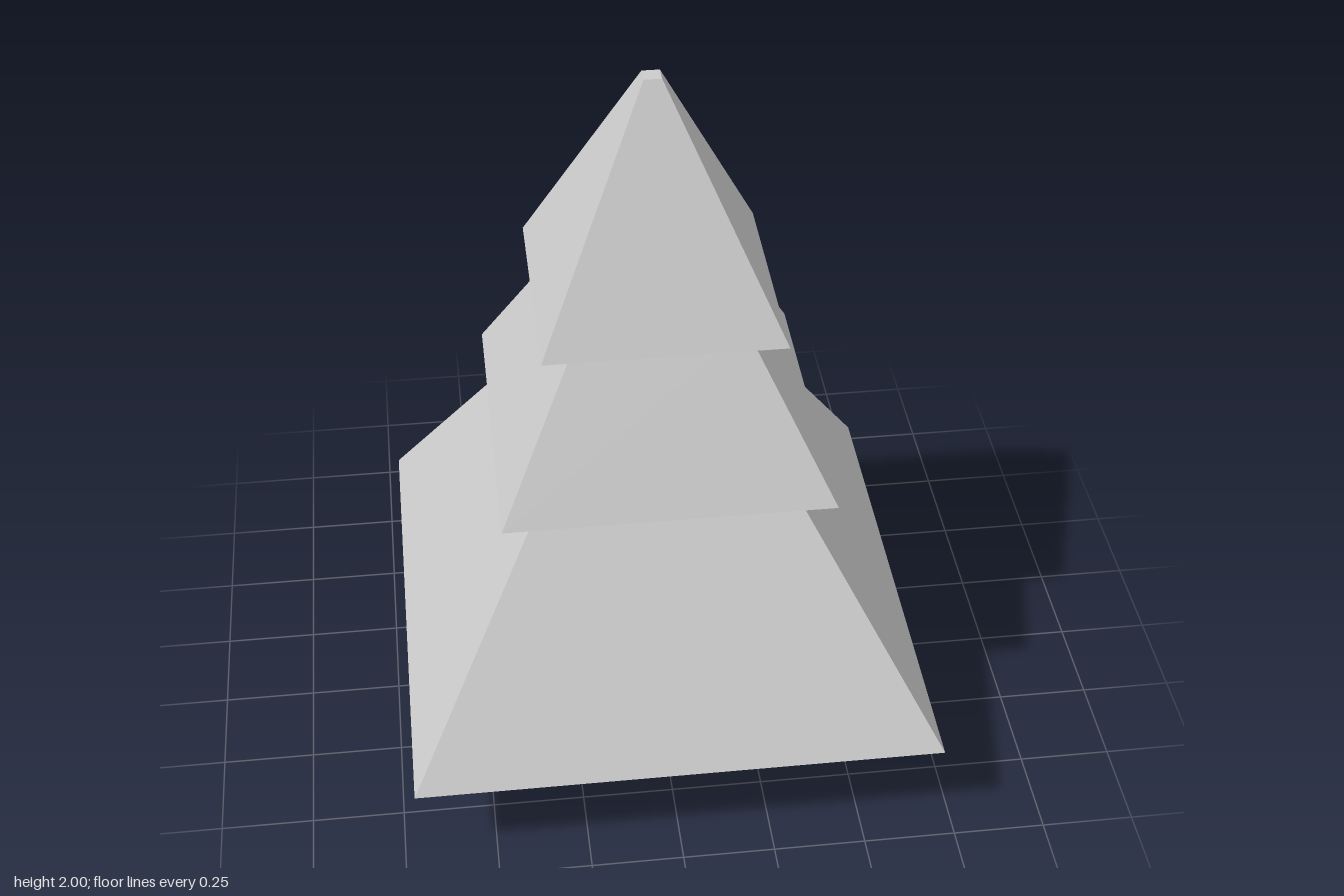
import * as THREE from 'three';

// Square frustum standing between two heights, given half-widths at each end
function squareFrustum(name, y0, y1, halfBottom, halfTop, material) {
  const geometry = new THREE.CylinderGeometry(
    halfTop * Math.SQRT2, halfBottom * Math.SQRT2, y1 - y0, 4, 1, false, Math.PI / 4);
  const mesh = new THREE.Mesh(geometry, material);
  mesh.name = name;
  mesh.position.y = (y0 + y1) / 2;
  return mesh;
}

export function createModel() {
  const group = new THREE.Group();
  group.name = 'pineTree';
  const material = new THREE.MeshStandardMaterial({ color: 0xcccccc, flatShading: true });

  // name, bottom y, top y, bottom half-width, top half-width
  const parts = [
    ['trunk', 0, 0.28, 0.13, 0.11],
    ['lowerBranches', 0.28, 0.938, 0.711, 0.33],
    ['middleBranches', 0.938, 1.372, 0.438, 0.217],
    ['upperBranches', 1.372, 2, 0.315, 0.023],
  ];
  for (const part of parts) group.add(squareFrustum(...part, material));

  return group;
}
